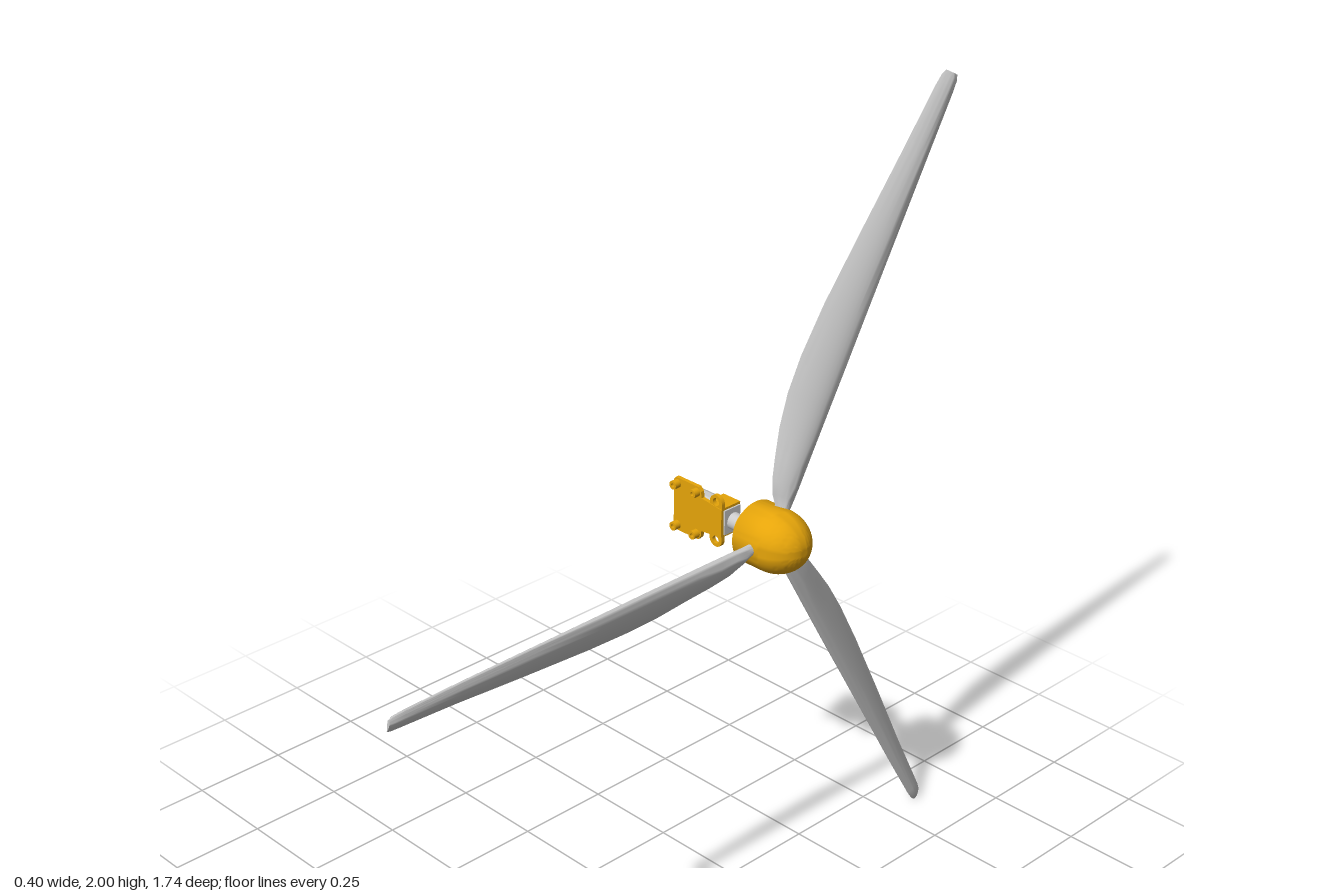
import * as THREE from 'three';
import { toCreasedNormals } from 'three/addons/utils/BufferGeometryUtils.js';

const grey = new THREE.MeshStandardMaterial({ color: 0xcccccc });
const yellow = new THREE.MeshStandardMaterial({ color: 0xe6a50a });
const AXIS_Y = 1, AXIS_Z = -0.27;

function add(parent, name, geometry, material, x = 0, y = 0, z = 0) {
  const mesh = new THREE.Mesh(geometry, material);
  mesh.name = name;
  mesh.position.set(x, y, z);
  parent.add(mesh);
  return mesh;
}

// Cylinder lying along x
const rod = (r, length, sides = 32) => new THREE.CylinderGeometry(r, r, length, sides).rotateZ(Math.PI / 2);

// Blade stations: radius, trailing edge y, trailing edge x, leading edge y, leading edge x, thickness
const STATIONS = [
  [0.05, -0.014, 0.085, 0.012, 0.1, 0.024],
  [0.078, -0.025, 0.083, 0.012, 0.1, 0.024],
  [0.1, -0.045, 0.08, 0.013, 0.1, 0.025],
  [0.13, -0.06, 0.077, 0.014, 0.1, 0.026],
  [0.18, -0.072, 0.07, 0.014, 0.1, 0.027],
  [0.25, -0.085, 0.06, 0.014, 0.1, 0.027],
  [0.33, -0.096, 0.055, 0.014, 0.1, 0.026],
  [0.42, -0.099, 0.054, 0.014, 0.1, 0.025],
  [0.55, -0.093, 0.057, 0.013, 0.1, 0.023],
  [0.75, -0.074, 0.067, 0.012, 0.1, 0.02],
  [0.95, -0.053, 0.077, 0.011, 0.1, 0.017],
  [1.1, -0.04, 0.085, 0.009, 0.101, 0.015],
  [1.132, -0.036, 0.088, 0.007, 0.101, 0.013],
  [1.143, -0.031, 0.091, 0.002, 0.1, 0.007],
];

// Twisted blade along +z, lofted through airfoil sections
function bladeGeometry() {
  const half = 14, n = half * 2;
  const positions = [], index = [];
  for (const [r, ty, tx, ly, lx, thick] of STATIONS) {
    const dx = tx - lx, dy = ty - ly, chord = Math.hypot(dx, dy);
    for (let j = 0; j < n; j++) {
      const a = (j / n) * Math.PI * 2;
      const s = (1 + Math.cos(a)) / 2; // 1 at trailing edge, 0 at nose
      const t = 5 * thick * (0.2969 * Math.sqrt(s) - 0.126 * s - 0.3516 * s * s + 0.2843 * s ** 3 - 0.1016 * s ** 4);
      const offset = (j <= half ? t : -t) + 0.16 * thick * 4 * s * (1 - s);
      positions.push(lx + dx * s - (dy / chord) * offset, ly + dy * s + (dx / chord) * offset, r);
    }
  }
  const last = STATIONS.length - 1;
  for (let i = 0; i < last; i++) {
    for (let j = 0; j < n; j++) {
      const k = (j + 1) % n, a = i * n, b = a + n;
      index.push(a + j, a + k, b + k, a + j, b + k, b + j);
    }
  }
  for (let j = 1; j < n - 1; j++) {
    index.push(0, j + 1, j, last * n, last * n + j, last * n + j + 1);
  }
  const g = new THREE.BufferGeometry();
  g.setAttribute('position', new THREE.Float32BufferAttribute(positions, 3));
  g.setIndex(index);
  return toCreasedNormals(g, 0.8);
}

// Domed spinner, turned around the rotor axis
function spinnerGeometry() {
  const pts = [new THREE.Vector2(0, 0.037), new THREE.Vector2(0.076, 0.037), new THREE.Vector2(0.078, 0.04)];
  for (let i = 0; i <= 16; i++) {
    const a = (i / 16) * Math.PI / 2;
    pts.push(new THREE.Vector2(0.078 * Math.cos(a), 0.105 + 0.092 * Math.sin(a)));
  }
  return toCreasedNormals(new THREE.LatheGeometry(pts, 48).rotateZ(-Math.PI / 2), 0.6);
}

function circleHole(shape, x, y, r) {
  const hole = new THREE.Path();
  hole.absarc(x, y, r, 0, Math.PI * 2, true);
  shape.holes.push(hole);
}

const slab = (shape, depth) => new THREE.ExtrudeGeometry(shape, { depth, bevelEnabled: false, curveSegments: 20 });

// Square mounting plate narrowing to a neck
function plateShape() {
  const s = new THREE.Shape();
  const outline = [[-0.2, -0.062], [-0.193, -0.07], [-0.117, -0.07], [-0.108, -0.06], [-0.106, -0.044],
    [-0.04, -0.036]];
  outline.forEach(([x, y], i) => (i ? s.lineTo(x, y) : s.moveTo(x, y)));
  outline.reverse().forEach(([x, y]) => s.lineTo(x, -y));
  for (const x of [-0.187, -0.122]) for (const y of [-0.055, 0.055]) circleHole(s, x, y, 0.005);
  return s;
}

// Screw ear with a round hole
function earShape() {
  const s = new THREE.Shape();
  s.moveTo(-0.02, 0);
  s.lineTo(0.02, 0);
  s.lineTo(0.02, 0.022);
  s.absarc(0, 0.022, 0.02, 0, Math.PI, false);
  circleHole(s, 0, 0.024, 0.01);
  return s;
}

// Hollow screw post
function postShape() {
  const s = new THREE.Shape();
  s.absarc(0, 0, 0.011, 0, Math.PI * 2, false);
  circleHole(s, 0, 0, 0.005);
  return s;
}

// Motor can with two flat sides, running along x
function motorCan(length) {
  const s = new THREE.Shape();
  const a = Math.asin(0.7);
  s.absarc(0, 0, 0.038, -a, a, false);
  s.absarc(0, 0, 0.038, Math.PI - a, Math.PI + a, false);
  s.closePath();
  return toCreasedNormals(slab(s, length).rotateZ(Math.PI / 2).rotateY(Math.PI / 2), 0.5);
}

export function createModel() {
  const model = new THREE.Group();
  model.name = 'turbineRotor';
  const unit = new THREE.Group();
  unit.name = 'rotorAndMotor';
  unit.position.set(0, AXIS_Y, AXIS_Z);
  model.add(unit);

  // Three blades
  const blade = bladeGeometry();
  for (let i = 0; i < 3; i++) {
    add(unit, 'blade' + (i + 1), blade, grey).rotation.x = (i * Math.PI * 2) / 3;
  }

  // Hub and shaft
  add(unit, 'spinner', spinnerGeometry(), yellow);
  add(unit, 'hubBackPlate', rod(0.06, 0.016), yellow, 0.031);
  add(unit, 'hubCollar', rod(0.032, 0.008), grey, 0.021);
  add(unit, 'coupling', rod(0.021, 0.06), grey, -0.003);
  add(unit, 'motorShaft', rod(0.008, 0.04, 16), grey, -0.04);

  // Motor and gearbox
  add(unit, 'motor', motorCan(0.075), grey, -0.17, 0, -0.002);
  add(unit, 'motorEndBoss', rod(0.012, 0.01, 20), grey, -0.174);
  for (const y of [-0.02, 0.02]) {
    add(unit, 'terminal', new THREE.BoxGeometry(0.01, 0.006, 0.004), grey, -0.174, y, 0);
  }
  add(unit, 'gearbox', new THREE.BoxGeometry(0.06, 0.064, 0.052), grey, -0.066, 0, 0);

  // Bracket clamped around the gearbox
  const bracket = new THREE.Group();
  bracket.name = 'bracket';
  unit.add(bracket);
  add(bracket, 'strapBack', new THREE.BoxGeometry(0.055, 0.076, 0.006), yellow, -0.068, 0, -0.027);
  for (const side of [-1, 1]) {
    add(bracket, 'strapSide', new THREE.BoxGeometry(0.055, 0.006, 0.056), yellow, -0.068, side * 0.035, 0);
    const ear = add(bracket, 'screwEar', slab(earShape(), 0.01), yellow, -0.06, side * 0.026, 0.022);
    if (side < 0) {
      ear.rotation.x = Math.PI;
      ear.position.z += 0.01;
    }
    add(bracket, 'strapScrew', new THREE.CylinderGeometry(0.006, 0.006, 0.008, 16).rotateX(Math.PI / 2),
      grey, -0.07, side * 0.018, -0.03);
  }

  // Mounting plate with screw posts
  add(unit, 'mountingPlate', slab(plateShape(), 0.01), yellow, 0, 0, 0.024);
  for (const x of [-0.187, -0.122]) {
    for (const y of [-0.055, 0.055]) add(unit, 'screwPost', slab(postShape(), 0.018), yellow, x, y, 0.033);
  }
  return model;
}
